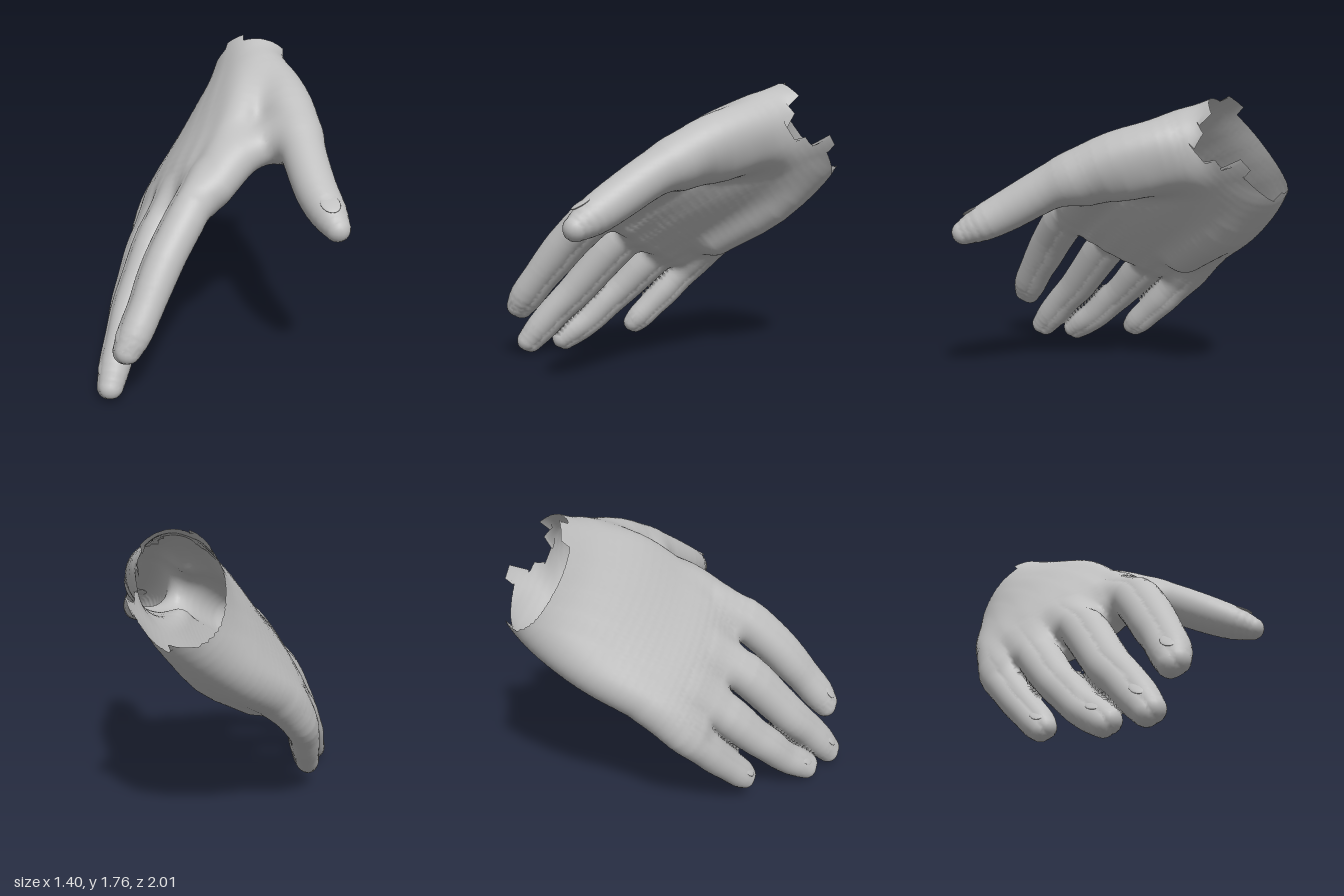
import * as THREE from 'three';

const skin = new THREE.MeshStandardMaterial({ color: 0xbfbfbf, side: THREE.DoubleSide });
skin.name = 'plain grey skin';

const V = (x, y, z) => new THREE.Vector3(x, y, z);
const spline = points =>
  new THREE.CatmullRomCurve3(points.map(p => V(...p)), false, 'catmullrom');

// Smooth limb through stations [x, y, z, radius], as a chain of tapered capsules with a bounding ball.
function chain(stations, steps = 3) {
  const path = spline(stations.map(s => s.slice(0, 3)));
  const radius = spline(stations.map(s => [s[3], 0, 0]));
  const count = (stations.length - 1) * steps;
  const capsules = Array.from({ length: count }, (_, i) => {
    const a = path.getPoint(i / count), b = path.getPoint((i + 1) / count);
    const ra = radius.getPoint(i / count).x, rb = radius.getPoint((i + 1) / count).x;
    const d = b.sub(a);
    return { x: a.x, y: a.y, z: a.z, dx: d.x, dy: d.y, dz: d.z, r: ra, dr: rb - ra, l2: d.lengthSq() };
  });
  const ball = new THREE.Sphere().setFromPoints(path.getPoints(count));
  ball.radius += Math.max(...stations.map(s => s[3]));
  return { capsules, ball };
}

function distance({ capsules, ball }, x, y, z) {
  const far = Math.hypot(x - ball.center.x, y - ball.center.y, z - ball.center.z) - ball.radius;
  if (far > 0.2) return far;
  let best = Infinity;
  for (const c of capsules) {
    const px = x - c.x, py = y - c.y, pz = z - c.z;
    const h = Math.min(1, Math.max(0, (px * c.dx + py * c.dy + pz * c.dz) / c.l2));
    const qx = px - h * c.dx, qy = py - h * c.dy, qz = pz - h * c.dz;
    best = Math.min(best, Math.sqrt(qx * qx + qy * qy + qz * qz) - c.r - h * c.dr);
  }
  return best;
}

// Blends two distances with a fillet of size k
function blend(a, b, k) {
  const h = Math.max(k - Math.abs(a - b), 0) / k;
  return Math.min(a, b) - h * h * k / 4;
}

// Palm sections: thumb-side edge, little-finger-side edge, half thickness, shift to the back
const back = V(-0.76, 0.58, 0.12).normalize();
const sections = [
  [V(0.13, 1.78, -0.74), V(0.03, 1.41, -1.05), 0.235, 0],
  [V(0.15, 1.72, -0.6), V(-0.04, 1.28, -0.99), 0.235, 0],
  [V(0.18, 1.63, -0.4), V(-0.14, 1.09, -0.91), 0.225, 0.025],
  [V(0.18, 1.49, -0.12), V(-0.28, 0.9, -0.76), 0.21, 0.055],
  [V(0.13, 1.31, 0.1), V(-0.42, 0.76, -0.58), 0.19, 0.06],
  [V(0.03, 1.15, 0.29), V(-0.52, 0.65, -0.42), 0.17, 0.05],
  [V(-0.08, 1.01, 0.41), V(-0.57, 0.57, -0.28), 0.13, 0.025],
];
const strands = [-1, -0.67, -0.33, 0, 0.33, 0.67, 1].map(u => chain(sections.map(([a, b, r, shift]) => {
  const half = a.clone().sub(b).multiplyScalar(0.5);
  const inset = 1 - 0.7 * r / half.length();
  const p = a.clone().add(b).multiplyScalar(0.5)
    .addScaledVector(half, u * inset).addScaledVector(back, shift);
  return [p.x, p.y, p.z, r * (1 - 0.3 * u * u)];
}), 5));

const thumbStations = [
  [0.19, 1.52, -0.45, 0.14], [0.24, 1.49, -0.35, 0.15], [0.315, 1.42, -0.13, 0.155],
  [0.385, 1.33, 0.08, 0.14], [0.435, 1.24, 0.26, 0.125], [0.5, 1.125, 0.45, 0.117],
  [0.565, 1.05, 0.58, 0.103], [0.62, 0.995, 0.68, 0.07]];
const webStations = [
  [0.38, 1.3, 0.1, 0.1], [0.2, 1.255, 0.08, 0.105], [0.06, 1.2, 0.17, 0.11], [-0.06, 1.08, 0.33, 0.1]];
// Fleshy pads of the palm below the thumb and below the little finger
const thumbPadStations = [[0.18, 1.4, -0.48, 0.12], [0.26, 1.32, -0.2, 0.13], [0.31, 1.27, 0.03, 0.1]];
const littlePadStations = [[0.02, 1.27, -0.8, 0.11], [-0.09, 1.0, -0.62, 0.115], [-0.28, 0.77, -0.32, 0.1]];

// Fingers, each from its knuckle inside the palm to its tip
const fingerStations = {
  indexFinger: [[-0.14, 1.08, 0.26, 0.085], [-0.19, 0.98, 0.44, 0.108], [-0.285, 0.8, 0.61, 0.106],
    [-0.34, 0.67, 0.71, 0.102], [-0.38, 0.555, 0.795, 0.093], [-0.43, 0.43, 0.88, 0.089],
    [-0.465, 0.35, 0.925, 0.072]],
  middleFinger: [[-0.34, 0.92, 0.07, 0.085], [-0.42, 0.75, 0.28, 0.105], [-0.49, 0.54, 0.46, 0.1],
    [-0.53, 0.41, 0.57, 0.096], [-0.55, 0.3, 0.68, 0.088], [-0.57, 0.18, 0.785, 0.084],
    [-0.583, 0.085, 0.865, 0.069]],
  ringFinger: [[-0.45, 0.8, -0.15, 0.085], [-0.53, 0.6, 0.06, 0.1], [-0.58, 0.42, 0.23, 0.09],
    [-0.6, 0.32, 0.34, 0.087], [-0.61, 0.21, 0.45, 0.08], [-0.62, 0.135, 0.55, 0.077],
    [-0.63, 0.075, 0.635, 0.067]],
  littleFinger: [[-0.46, 0.77, -0.4, 0.08], [-0.55, 0.62, -0.27, 0.098], [-0.58, 0.48, -0.14, 0.088],
    [-0.585, 0.38, -0.05, 0.084], [-0.59, 0.29, 0.04, 0.077], [-0.595, 0.21, 0.12, 0.073],
    [-0.6, 0.165, 0.165, 0.06]],
};
// A finger is wider than thick: two chains side by side
const fingerWidth = V(0.485, 0.486, 0.725);
function finger(stations) {
  const sides = [-0.24, 0.24].map(k => chain(stations.map(([x, y, z, r]) =>
    [...V(x, y, z).addScaledVector(fingerWidth, k * r).toArray(), r])));
  const ball = sides[0].ball.clone().union(sides[1].ball);
  return { capsules: sides.flatMap(s => s.capsules), ball };
}

const thumb = chain(thumbStations), web = chain(webStations);
const thumbPad = chain(thumbPadStations), littlePad = chain(littlePadStations);
const fingers = Object.values(fingerStations).map(finger);
const parts = { thumb, thumbWeb: web };
Object.keys(fingerStations).forEach((name, i) => { parts[name] = fingers[i]; });

function palmField(x, y, z) {
  const palm = strands.reduce((d, s) => blend(d, distance(s, x, y, z), 0.05), 10);
  return blend(blend(palm, distance(thumbPad, x, y, z), 0.12), distance(littlePad, x, y, z), 0.12);
}

// Whole hand: palm, thumb and web flow together, each finger flows into them but not into its neighbour
function field(x, y, z) {
  let body = palmField(x, y, z);
  body = blend(body, distance(thumb, x, y, z), 0.1);
  body = blend(body, distance(web, x, y, z), 0.1);
  return Math.min(...fingers.map(f => blend(body, distance(f, x, y, z), 0.07)));
}

function gradient(p) {
  const e = 0.008;
  return V(
    field(p.x + e, p.y, p.z) - field(p.x - e, p.y, p.z),
    field(p.x, p.y + e, p.z) - field(p.x, p.y - e, p.z),
    field(p.x, p.y, p.z + e) - field(p.x, p.y, p.z - e)).normalize();
}

// Torn wrist rim: a plane with stepped notches, [from angle, to angle, depth]
const wrist = V(0.055, 1.5, -0.8);
const across = V(0.31, 0.71, 0.63).normalize();
const forward = V(0, -0.62, 0.785).normalize();
const notches = [[-30, -8, 0.09], [-62, -30, 0.18], [-85, -62, 0.12], [-150, -105, 0.06], [40, 62, -0.06]];
function insideRim(p) {
  const q = p.clone().sub(wrist);
  const angle = THREE.MathUtils.radToDeg(Math.atan2(q.dot(back), q.dot(across)));
  const notch = notches.find(([from, to]) => angle >= from && angle < to);
  return q.dot(forward) - (notch ? notch[2] : 0);
}

// Wraps a grid skin round the field and returns one mesh per part, with shared smooth normals.
function skinMeshes() {
  const step = 0.022, origin = [-0.86, -0.1, -1.2], size = [76, 96, 105];
  const stride = [1, size[0], size[0] * size[1]];
  const values = new Float32Array(size[0] * size[1] * size[2]);
  const eachCell = visit => {
    for (let k = 0; k < size[2]; k++)
      for (let j = 0; j < size[1]; j++)
        for (let i = 0; i < size[0]; i++) visit([i, j, k], i + j * stride[1] + k * stride[2]);
  };
  eachCell((c, id) => { values[id] = field(...c.map((n, a) => origin[a] + n * step)); });

  // One vertex in every cell the surface crosses
  const vertices = new Map();
  eachCell((c, id) => {
    if (c.some((n, a) => n === size[a] - 1)) return;
    const sum = V(0, 0, 0);
    let hits = 0;
    for (let corner = 0; corner < 8; corner++) {
      const bits = [corner & 1, corner >> 1 & 1, corner >> 2 & 1];
      const from = id + bits[0] + bits[1] * stride[1] + bits[2] * stride[2];
      for (let a = 0; a < 3; a++) {
        const v0 = values[from], v1 = values[from + stride[a]];
        if (bits[a] || (v0 < 0) === (v1 < 0)) continue;
        const at = [...bits];
        at[a] = v0 / (v0 - v1);
        sum.add(V(...at));
        hits++;
      }
    }
    if (!hits) return;
    const p = sum.divideScalar(hits).add(V(...c)).multiplyScalar(step).add(V(...origin));
    p.addScaledVector(gradient(p), -field(p.x, p.y, p.z));
    const normal = gradient(p), inside = insideRim(p);
    let part = 'palm', nearest = palmField(p.x, p.y, p.z);
    for (const [name, shape] of Object.entries(parts)) {
      const d = distance(shape, p.x, p.y, p.z);
      if (d < nearest) [part, nearest] = [name, d];
    }
    if (inside < 0) p.addScaledVector(forward, -inside);
    vertices.set(id, { p, normal, part, kept: inside >= 0 });
  });

  // Four cells round every crossed grid edge make a face
  const skins = {};
  for (const name of ['palm', ...Object.keys(parts)]) {
    skins[name] = { positions: [], normals: [], index: [], seen: new Map() };
  }
  eachCell((c, id) => {
    for (let a = 0; a < 3; a++) {
      if (c[a] === size[a] - 1 || (values[id] < 0) === (values[id + stride[a]] < 0)) continue;
      const b = stride[(a + 1) % 3], d = stride[(a + 2) % 3];
      const corners = [id - b - d, id - d, id, id - b];
      if (values[id] >= 0) corners.reverse();
      const quad = corners.map(n => vertices.get(n));
      if (!quad.some(v => v.kept)) continue;
      const s = skins[quad[0].part];
      const [e, f, g, h] = quad.map(v => {
        if (!s.seen.has(v)) {
          s.seen.set(v, s.seen.size);
          s.positions.push(v.p);
          s.normals.push(...v.normal.toArray());
        }
        return s.seen.get(v);
      });
      s.index.push(e, f, g, e, g, h);
    }
  });
  return Object.entries(skins).map(([name, s]) => {
    const geometry = new THREE.BufferGeometry().setFromPoints(s.positions);
    geometry.setAttribute('normal', new THREE.Float32BufferAttribute(s.normals, 3));
    geometry.setIndex(s.index);
    const mesh = new THREE.Mesh(geometry, skin);
    mesh.name = name;
    return mesh;
  });
}

// Shallow nail lying on the back of a fingertip
function nail(name, stations, dorsal) {
  const [a, b] = stations.slice(-2).map(s => V(...s));
  const r = stations[stations.length - 2][3];
  const t = b.clone().sub(a).normalize();
  const w = dorsal.clone().cross(t).normalize(), d = t.clone().cross(w);
  const plate = new THREE.Mesh(new THREE.SphereGeometry(1, 20, 12), skin);
  plate.name = name + 'Nail';
  plate.scale.set(r * 0.5, r * 0.1, r * 0.65);
  plate.quaternion.setFromRotationMatrix(new THREE.Matrix4().makeBasis(w, d, t));
  plate.position.copy(a).lerp(b, 0.2).addScaledVector(d, r * 0.9);
  return plate;
}

export function createModel() {
  const hand = new THREE.Group();
  hand.name = 'openHand';
  hand.add(...skinMeshes());
  for (const [name, stations] of Object.entries(fingerStations)) {
    hand.add(nail(name, stations, V(-0.65, 0.5, 0.4)));
  }
  hand.add(nail('thumb', thumbStations, V(0.1, 0.75, 0.6)));
  return hand;
}
